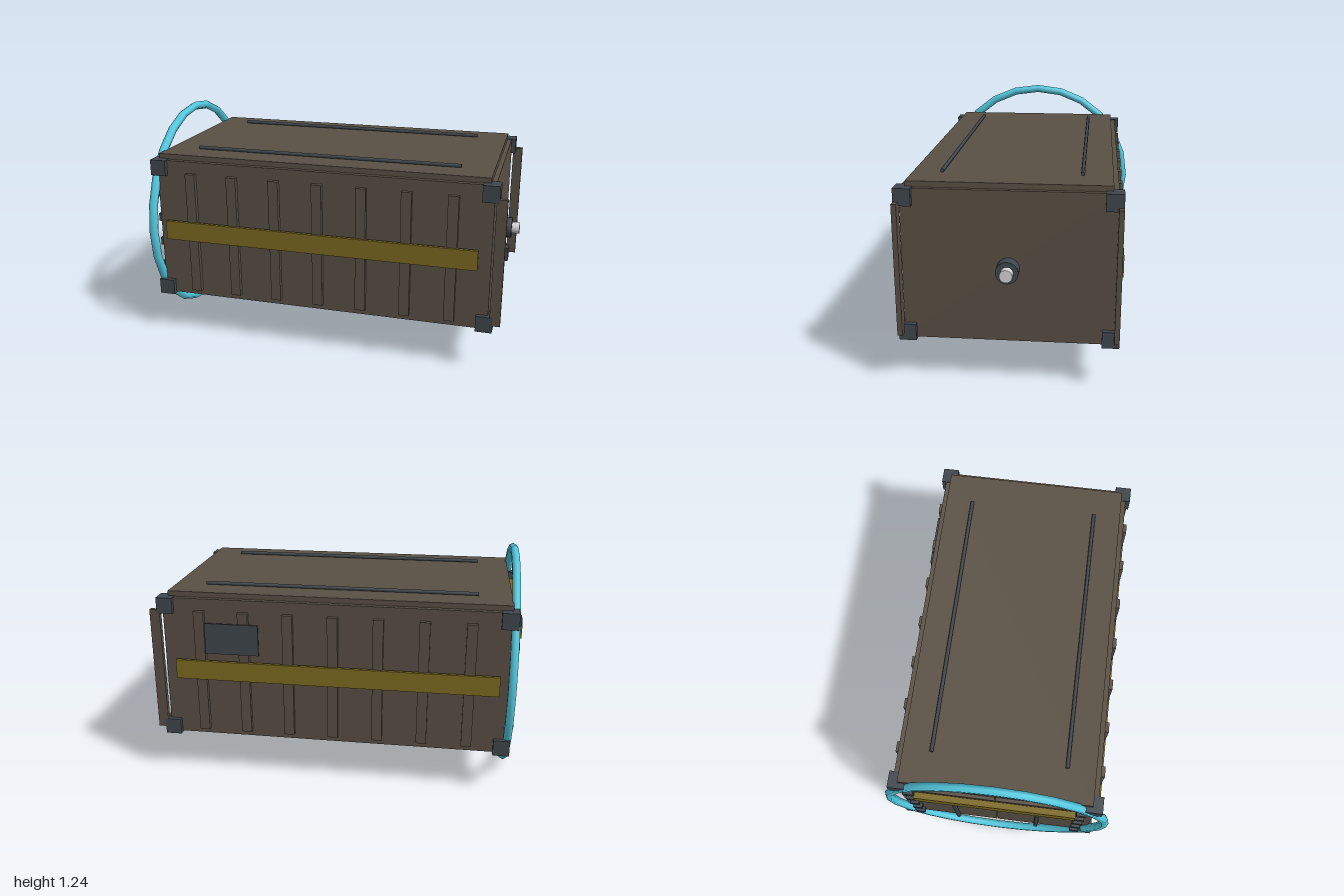
import * as THREE from 'three';

const material = (name, color) => {
  const m = new THREE.MeshStandardMaterial({ color });
  m.name = name;
  return m;
};

export function createModel() {
  const brown = material('brown paint', 0x5a5045);
  const slate = material('dark slate metal', 0x40474d);
  const ochre = material('ochre stripe', 0x7d6a20);
  const cyan = material('cyan ring', 0x55cbe2);
  const pale = material('pale metal', 0xd6d6d6);

  const model = new THREE.Group();
  model.name = 'cargoContainer';

  const add = (name, geometry, mat, x = 0, y = 0, z = 0) => {
    const mesh = new THREE.Mesh(geometry, mat);
    mesh.name = name;
    mesh.position.set(x, y, z);
    model.add(mesh);
    return mesh;
  };
  // Box given by its limits on each axis
  const box = (name, mat, [x0, x1], [y0, y1], [z0, z1]) =>
    add(name, new THREE.BoxGeometry(x1 - x0, y1 - y0, z1 - z0), mat,
      (x0 + x1) / 2, (y0 + y1) / 2, (z0 + z1) / 2);

  // Hull and raised roof panel
  box('hull', brown, [-0.945, 0.895], [0.243, 1.025], [-0.527, 0.527]);
  box('roofPanel', brown, [-0.944, 0.87], [1.025, 1.054], [-0.5, 0.5]);

  // Corner castings
  for (const x of [-0.93, 0.877])
    for (const y of [0.278, 0.985])
      for (const z of [-0.508, 0.508])
        add('cornerCasting', new THREE.BoxGeometry(0.087, 0.087, 0.087), slate, x, y, z);

  // Side ribs, long stripes and roof rails, mirrored front to back
  for (const s of [-1, 1]) {
    for (let i = 0; i < 8; i++)
      add('sideRib', new THREE.BoxGeometry(0.055, 0.685, 0.026), brown,
        -0.744 + i * 0.2395, 0.618, s * 0.538);
    add('sideStripe', new THREE.BoxGeometry(1.73, 0.107, 0.018), ochre, -0.035, 0.632, s * 0.553);
    const rail = add('roofRail', new THREE.CylinderGeometry(0.01, 0.01, 1.47, 8), slate,
      -0.035, 1.064, s * 0.35);
    rail.rotation.z = Math.PI / 2;
  }

  // Plate on the back side
  box('backPlate', slate, [0.37, 0.66], [0.73, 0.9], [-0.559, -0.549]);

  // Door end: two leaves, warning stripe, lock rods, hinges
  for (const s of [-1, 1]) {
    add('doorLeaf', new THREE.BoxGeometry(0.02, 0.66, 0.465), brown, -0.953, 0.63, s * 0.235);
    const rod = add('lockRod', new THREE.CylinderGeometry(0.013, 0.013, 0.54, 8), slate,
      -0.978, 0.63, s * 0.225);
    rod.name = 'lockRod';
    for (let i = 0; i < 5; i++)
      add('hinge', new THREE.BoxGeometry(0.03, 0.045, 0.05), slate,
        -0.975, 0.38 + i * 0.145, s * 0.448);
  }
  box('doorStripe', ochre, [-0.998, -0.965], [0.855, 0.942], [-0.42, 0.42]);

  // Ring around the door end
  const ring = add('endRing', new THREE.TorusGeometry(0.598, 0.024, 6, 24), cyan, -0.959, 0.625, 0);
  ring.rotation.y = Math.PI / 2;

  // Coupling on the opposite end
  const collar = add('couplingCollar', new THREE.CylinderGeometry(0.057, 0.057, 0.068, 16), slate,
    0.924, 0.63, 0);
  const pin = add('couplingPin', new THREE.CylinderGeometry(0.032, 0.032, 0.06, 20), pale,
    0.97, 0.63, 0);
  collar.rotation.z = pin.rotation.z = -Math.PI / 2;

  return model;
}
